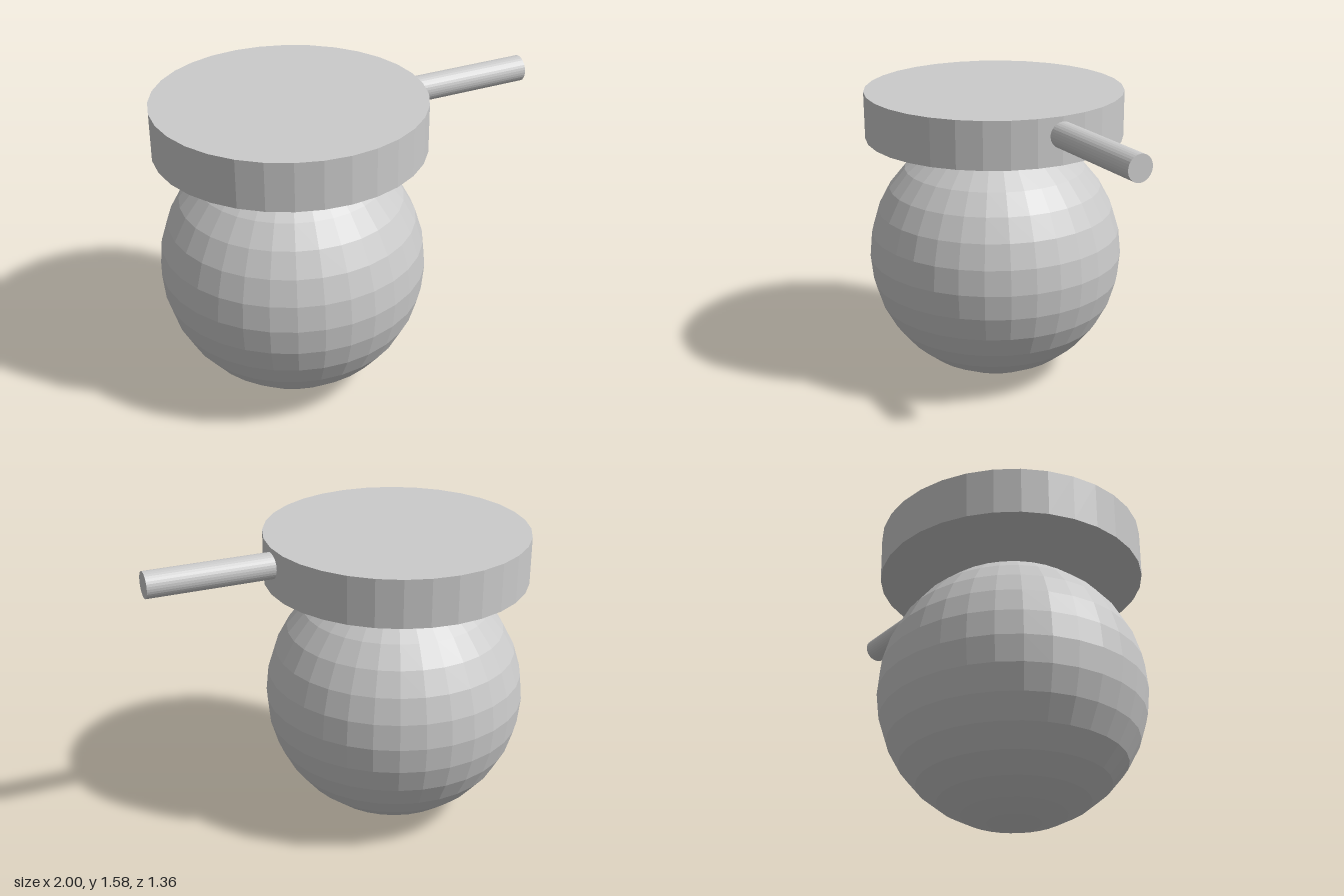
import * as THREE from 'three';

export function createModel() {
  const group = new THREE.Group();
  const material = new THREE.MeshStandardMaterial({ color: 0xcccccc, flatShading: true });
  const radius = 0.68;
  const bodyX = -0.32;

  const add = (name, geometry, x, y) => {
    const mesh = new THREE.Mesh(geometry, material);
    mesh.name = name;
    mesh.position.set(x, y, 0);
    group.add(mesh);
    return mesh;
  };

  // Faceted ball standing on the ground
  add('ball', new THREE.SphereGeometry(radius, 32, 16), bodyX, radius);

  // Flat disc resting on the ball, just overlapping its top
  add('disc', new THREE.CylinderGeometry(radius, radius, 0.246, 32), bodyX, 1.457);

  // Round handle sticking out sideways from the rim
  const handle = add('handle', new THREE.CylinderGeometry(0.067, 0.067, 0.66, 32), 0.67, 1.487);
  handle.rotation.z = -Math.PI / 2;

  return group;
}
